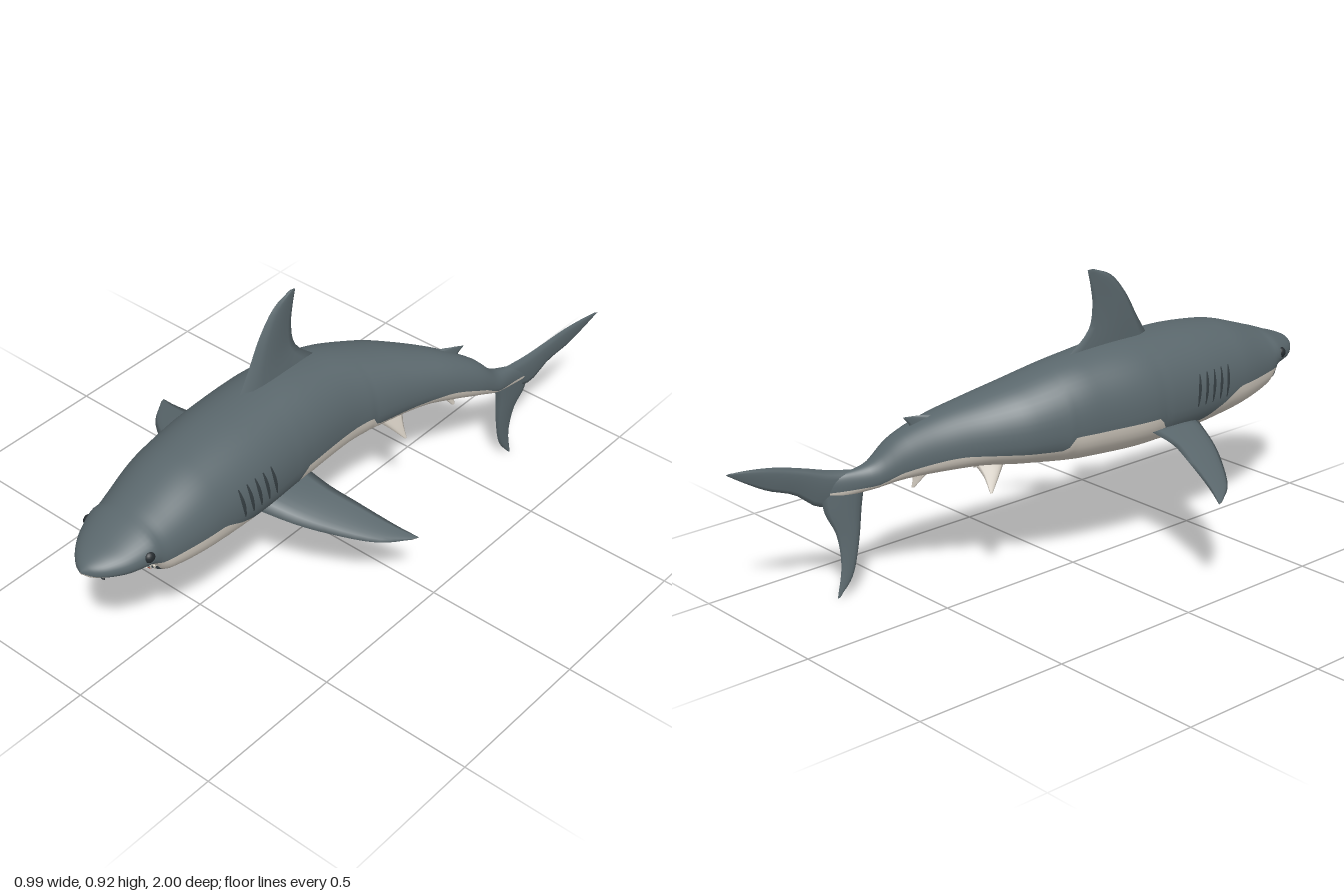
import * as THREE from 'three';
import { ParametricGeometry } from 'three/addons/geometries/ParametricGeometry.js';

const V = (x, y, z) => new THREE.Vector3(x, y, z);
const mat = (name, color, side = THREE.FrontSide) => {
  const m = new THREE.MeshStandardMaterial({ color, side });
  m.name = name;
  return m;
};

// Body profile, nose to tail: z, centre x, half width, top, bottom
const PROFILE = [
  [1, .05, .004, .506, .496], [.985, .05, .035, .522, .484], [.95, .048, .072, .54, .475],
  [.9, .045, .105, .558, .466], [.83, .041, .13, .585, .457], [.8, .04, .137, .595, .415],
  [.77, .038, .145, .606, .395], [.6, .027, .174, .658, .366], [.4, .018, .183, .68, .352],
  [.2, .012, .177, .685, .347], [0, .024, .156, .668, .352], [-.2, .074, .141, .615, .368],
  [-.3, .12, .122, .578, .374], [-.4, .177, .096, .535, .362], [-.5, .233, .064, .474, .342],
  [-.58, .265, .037, .4, .32], [-.66, .285, .017, .382, .312], [-.72, .304, .006, .37, .318],
  [-1, .365, 0, .44, .44],
];

// Height of the line between back and belly: z, y
const LINE = [[1, .499], [.95, .488], [.8, .48], [.6, .48], [.5, .44], [.4, .405], [.26, .408], [.21, .462],
  [-.08, .46], [-.11, .42], [-.35, .425], [-.5, .38], [-.58, .337], [-1, .32]];

// Monotone cubic interpolation of one column of a table
function sample(S, z, c) {
  let i = 0;
  while (i < S.length - 2 && z < S[i + 1][0]) i++;
  const slope = (k) => (S[k + 1][c] - S[k][c]) / (S[k + 1][0] - S[k][0]);
  const tangent = (k) => {
    if (k === 0) return slope(0);
    if (k === S.length - 1) return slope(k - 1);
    const a = slope(k - 1), b = slope(k);
    return a * b <= 0 ? 0 : (2 * a * b) / (a + b);
  };
  const d = S[i + 1][0] - S[i][0], t = (z - S[i][0]) / d, t2 = t * t, t3 = t2 * t;
  return (2 * t3 - 3 * t2 + 1) * S[i][c] + (t3 - 2 * t2 + t) * d * tangent(i)
    + (3 * t2 - 2 * t3) * S[i + 1][c] + (t3 - t2) * d * tangent(i + 1);
}

// Body section at z; it is widest a little below the middle
function station(z) {
  const [x, w, top, bottom] = [1, 2, 3, 4].map((c) => sample(PROFILE, z, c));
  return { x, w, top, bottom, mid: bottom + .42 * (top - bottom), line: sample(LINE, z, 1) };
}

// Upper and lower halves of a section: height and roundness
const half = (s, up) => (up ? { h: s.top - s.mid, n: 2.1 } : { h: s.mid - s.bottom, n: 2.4 });

// Half width of the body at a height, 0 when outside
function widthAt(s, y) {
  const { h, n } = half(s, y > s.mid);
  const r = Math.abs((y - s.mid) / h);
  return r >= 1 ? 0 : s.w * Math.pow(1 - Math.pow(r, n), 1 / n);
}

// First z where a line from the front meets the head
function frontZ(x, y) {
  let z = .998;
  for (; z > .5; z -= .002) {
    const s = station(z);
    if (Math.abs(x - s.x) < widthAt(s, y)) break;
  }
  return z;
}

// Closed skin over rings; quads before `split` use the first material
function loft(name, rings, split, materials) {
  const n = rings[0].length, pts = rings.flat(), parts = [[], []];
  const centre = (ring) => ring.reduce((a, p) => a.add(p), V(0, 0, 0)).divideScalar(n);
  const c0 = pts.length, last = (rings.length - 1) * n;
  pts.push(centre(rings[0]), centre(rings[rings.length - 1]));
  for (let j = 0; j < n; j++) {
    const k = (j + 1) % n, out = parts[j < split ? 0 : 1];
    out.push(c0, j, k, c0 + 1, last + k, last + j);
    for (let i = 0; i < last; i += n) out.push(i + j, i + n + j, i + k, i + k, i + n + j, i + n + k);
  }
  // Turn the faces outward
  const index = parts.flat();
  let volume = 0;
  for (let i = 0; i < index.length; i += 3) {
    volume += pts[index[i]].dot(pts[index[i + 1]].clone().cross(pts[index[i + 2]]));
  }
  if (volume < 0) for (let i = 0; i < index.length; i += 3) [index[i], index[i + 1]] = [index[i + 1], index[i]];
  const geo = new THREE.BufferGeometry().setFromPoints(pts);
  geo.setIndex(index);
  geo.addGroup(0, parts[0].length, 0);
  geo.addGroup(parts[0].length, parts[1].length, 1);
  geo.computeVertexNormals();
  const mesh = new THREE.Mesh(geo, materials);
  mesh.name = name;
  return mesh;
}

// Fin lofted between a leading and a trailing edge, root to tip
function fin(name, lead, trail, thick, normal, materials) {
  const a = new THREE.CatmullRomCurve3(lead), b = new THREE.CatmullRomCurve3(trail);
  const rings = [], M = 8, steps = 16;
  for (let i = 0; i <= steps; i++) {
    const t = i / steps, p = a.getPoint(t), q = b.getPoint(t), ring = [];
    for (let j = 0; j < 2 * M; j++) {
      const u = j <= M ? j / M : 2 - j / M;
      const bulge = 1.9 * Math.sqrt(u) * (1 - u) * (j <= M ? 1 : -1) * thick * (1 - .85 * t) / 2;
      ring.push(p.clone().lerp(q, u).addScaledVector(normal, bulge));
    }
    rings.push(ring);
  }
  return loft(name, rings, M, materials);
}

export function createModel() {
  const model = new THREE.Group();
  model.name = 'shark';
  const grey = mat('slate back', 0x5a676c), white = mat('pale belly', 0xd0c9be);
  const dark = mat('gill shadow', 0x353e42, THREE.DoubleSide), black = mat('eye', 0x262c30);
  const red = mat('gum', 0x9c4b3c, THREE.DoubleSide), ivory = mat('tooth', 0xe6e1d4);
  const add = (name, geo, material) => {
    const m = new THREE.Mesh(geo, material);
    m.name = name;
    model.add(m);
    return m;
  };

  // Body: back above the colour line, belly below it
  const rings = [], UP = 28, LOW = 20;
  for (let i = 0; i <= 110; i++) {
    const z = 1 - 1.72 * Math.pow(i / 110, 1.25), s = station(z), ring = [];
    const up = s.line > s.mid, e = half(s, up);
    const a = Math.asin(Math.pow(Math.min(1, Math.abs(s.line - s.mid) / e.h), e.n / 2)) * (up ? 1 : -1);
    for (let j = 0; j < UP + LOW; j++) {
      const th = j < UP ? a + (Math.PI - 2 * a) * j / UP : Math.PI - a + (Math.PI + 2 * a) * (j - UP) / LOW;
      const c = Math.cos(th), sn = Math.sin(th), { h, n } = half(s, sn > 0);
      ring.push(V(s.x + s.w * Math.sign(c) * Math.pow(Math.abs(c), 2 / n),
        s.mid + h * Math.sign(sn) * Math.pow(Math.abs(sn), 2 / n), z));
    }
    rings.push(ring);
  }
  model.add(loft('body', rings, UP, [grey, white]));

  // Upright fins, given as [z, y] along the bent spine
  const upright = (name, lead, trail, thick, material, shift = () => 0) => {
    const place = ([z, y]) => V(station(z).x + shift(y), y, z);
    model.add(fin(name, lead.map(place), trail.map(place), thick, V(1, 0, 0), [material, material]));
  };
  upright('dorsalFin', [[.33, .65], [.265, .745], [.215, .825], [.15, .895], [.085, .922]],
    [[-.02, .65], [.07, .735], [.082, .81], [.073, .87], [.06, .922]], .06, grey,
    (y) => -.008 - .04 * (y - .67));
  upright('upperTailLobe', [[-.58, .385], [-.69, .4], [-.77, .42], [-.85, .438], [-.93, .446], [-.985, .446]],
    [[-.66, .3], [-.725, .29], [-.8, .343], [-.88, .372], [-.945, .408], [-1, .443]], .035, grey);
  upright('lowerTailLobe', [[-.585, .36], [-.603, .27], [-.62, .165], [-.65, .06], [-.69, .006]],
    [[-.72, .335], [-.715, .27], [-.687, .2], [-.68, .1], [-.699, 0]], .042, grey,
    (y) => -.08 * (.35 - y));
  upright('secondDorsalFin', [[-.37, .53], [-.41, .535], [-.44, .533]],
    [[-.47, .475], [-.458, .5], [-.475, .53]], .022, grey);
  upright('analFin', [[-.39, .38], [-.42, .345], [-.45, .308]],
    [[-.47, .365], [-.455, .34], [-.458, .308]], .022, white);

  // Pectoral fins: grey above, pale below; the right one is held higher
  const lead = [[.14, .4, .41], [.24, .36, .352], [.32, .328, .292], [.43, .285, .187], [.483, .269, .1]];
  const trail = [[.14, .425, .19], [.24, .392, .18], [.31, .36, .155], [.43, .3, .107], [.492, .267, .075]];
  const onLeft = (p) => V(...p);
  const onRight = ([x, y, z]) => {
    const k = (x - .15) / .34;
    return V(.01 - x * 1.035, y + .04 * k, z + .045 * k);
  };
  model.add(fin('leftPectoralFin', lead.map(onLeft), trail.map(onLeft), .05, V(.4, .9, .1), [grey, white]));
  model.add(fin('rightPectoralFin', lead.map(onRight), trail.map(onRight), .05, V(-.35, .9, .1), [grey, white]));

  // Pelvic fins
  model.add(fin('leftPelvicFin', [V(.14, .42, -.12), V(.178, .355, -.18), V(.205, .312, -.215)],
    [V(.16, .42, -.25), V(.19, .355, -.225), V(.207, .312, -.222)], .025, V(.8, .5, 0), [white, white]));
  model.add(fin('rightPelvicFin', [V(.06, .42, -.2), V(.03, .355, -.265), V(.018, .305, -.305)],
    [V(.09, .41, -.34), V(.05, .355, -.315), V(.02, .305, -.312)], .025, V(-.8, .5, 0), [white, white]));

  // Mouth: bands laid on the head along a smile
  const smile = (s, y, out) => {
    const x = .04 + .12 * s, h = y + .02 * s * s;
    return V(x + s * out * .6, h, frontZ(x, h) + out);
  };
  const band = (name, reach, low, high, out, material) => add(name, new ParametricGeometry((u, v, p) =>
    p.copy(smile((2 * u - 1) * reach, low + (high - low) * v, out)), 32, 4), material);
  band('mouth', 1, .426, .449, .004, dark);
  band('lowerGum', .7, .42, .429, .007, red);

  // Teeth
  for (let i = 0; i < 17; i++) {
    const s = (i - 8) / 9;
    const upper = add('upperTooth', new THREE.ConeGeometry(.006, .018, 5), ivory);
    upper.position.copy(smile(s, .441, .006));
    upper.rotation.x = Math.PI;
    if (i < 3 || i > 13) continue;
    const lower = add('lowerTooth', new THREE.ConeGeometry(.004, .012, 5), ivory);
    lower.position.copy(smile(s + .04, .431, .006));
  }

  for (const side of [1, -1]) {
    // Eyes
    const s = station(.845), eye = add('eye', new THREE.SphereGeometry(.018, 16, 12), black);
    eye.position.set(s.x + side * (widthAt(s, .517) - .008), .517, .845);
    eye.scale.set(.8, 1, 1);

    // Nostrils
    const nostril = add('nostril', new THREE.SphereGeometry(.006, 8, 6), black);
    nostril.position.set(.048 + side * .05, .487, frontZ(.048 + side * .05, .487));
    nostril.scale.set(1.6, .6, .6);

    // Gill slits
    for (let g = 0; g < 5; g++) {
      add('gillSlit', new ParametricGeometry((u, v, p) => {
        const y = .465 + .1 * v, z = .37 + g * .034 + .015 * v + (u - .5) * .013 * Math.sin(Math.PI * (.1 + .8 * v));
        const k = station(z);
        p.set(k.x + side * (widthAt(k, y) + .003), y, z);
      }, 2, 8), dark);
    }
  }
  return model;
}
